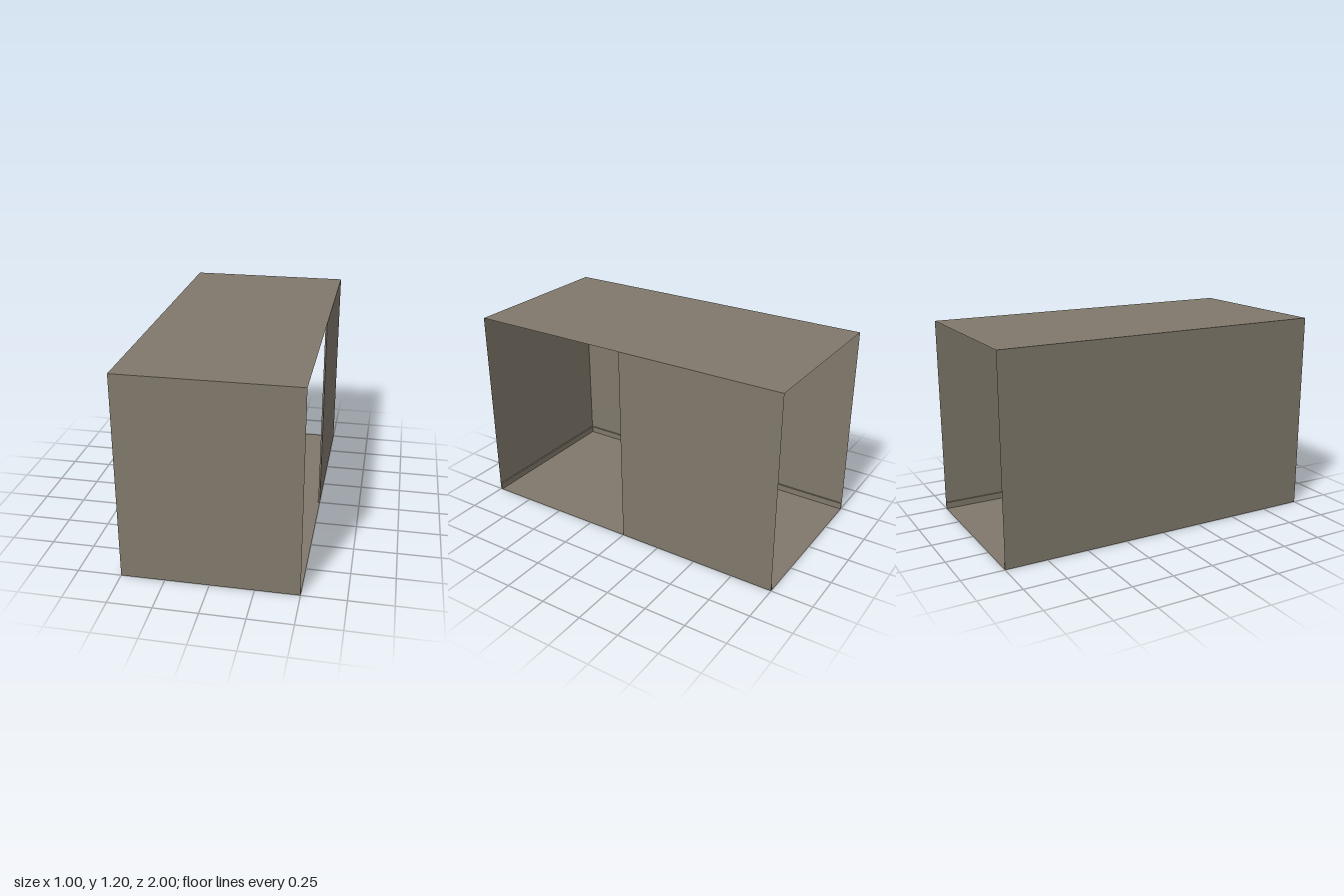
import * as THREE from 'three';

const W = 1, H = 1.2, L = 2;      // room width, height, length
const TRIM_H = 0.04, TRIM_T = 0.01; // skirting height and thickness

export function createModel() {
  const model = new THREE.Group();
  model.name = 'openRoom';

  const plaster = new THREE.MeshStandardMaterial({ color: 0x80786b, side: THREE.DoubleSide });
  plaster.name = 'warm grey plaster';

  const add = (name, geometry, x, y, z) => {
    const mesh = new THREE.Mesh(geometry, plaster);
    mesh.name = name;
    mesh.position.set(x, y, z);
    model.add(mesh);
  };
  const box = (name, w, h, d, x, y, z) => add(name, new THREE.BoxGeometry(w, h, d), x, y, z);

  // Floor and ceiling sheets
  add('floor', new THREE.PlaneGeometry(W, L).rotateX(-Math.PI / 2), 0, 0, 0);
  add('ceiling', new THREE.PlaneGeometry(W, L).rotateX(-Math.PI / 2), 0, H, 0);

  // Walls: closed front, full right wall, rear half of left wall; the back is open
  add('frontWall', new THREE.PlaneGeometry(W, H), 0, H / 2, L / 2);
  add('rightWall', new THREE.PlaneGeometry(L, H).rotateY(-Math.PI / 2), -W / 2, H / 2, 0);
  add('leftWall', new THREE.PlaneGeometry(L / 2, H).rotateY(Math.PI / 2), W / 2, H / 2, -L / 4);

  // Skirting boards along the inside of each wall
  const inset = W / 2 - TRIM_T / 2;
  box('rightSkirting', TRIM_T, TRIM_H, L, -inset, TRIM_H / 2, 0);
  box('leftSkirting', TRIM_T, TRIM_H, L / 2, inset, TRIM_H / 2, -L / 4);
  box('frontSkirting', W, TRIM_H, TRIM_T, 0, TRIM_H / 2, L / 2 - TRIM_T / 2);

  // Upright trim where the left wall meets the opening
  box('openingTrim', TRIM_T, H, 0.03, inset, H / 2, -0.015);

  return model;
}
